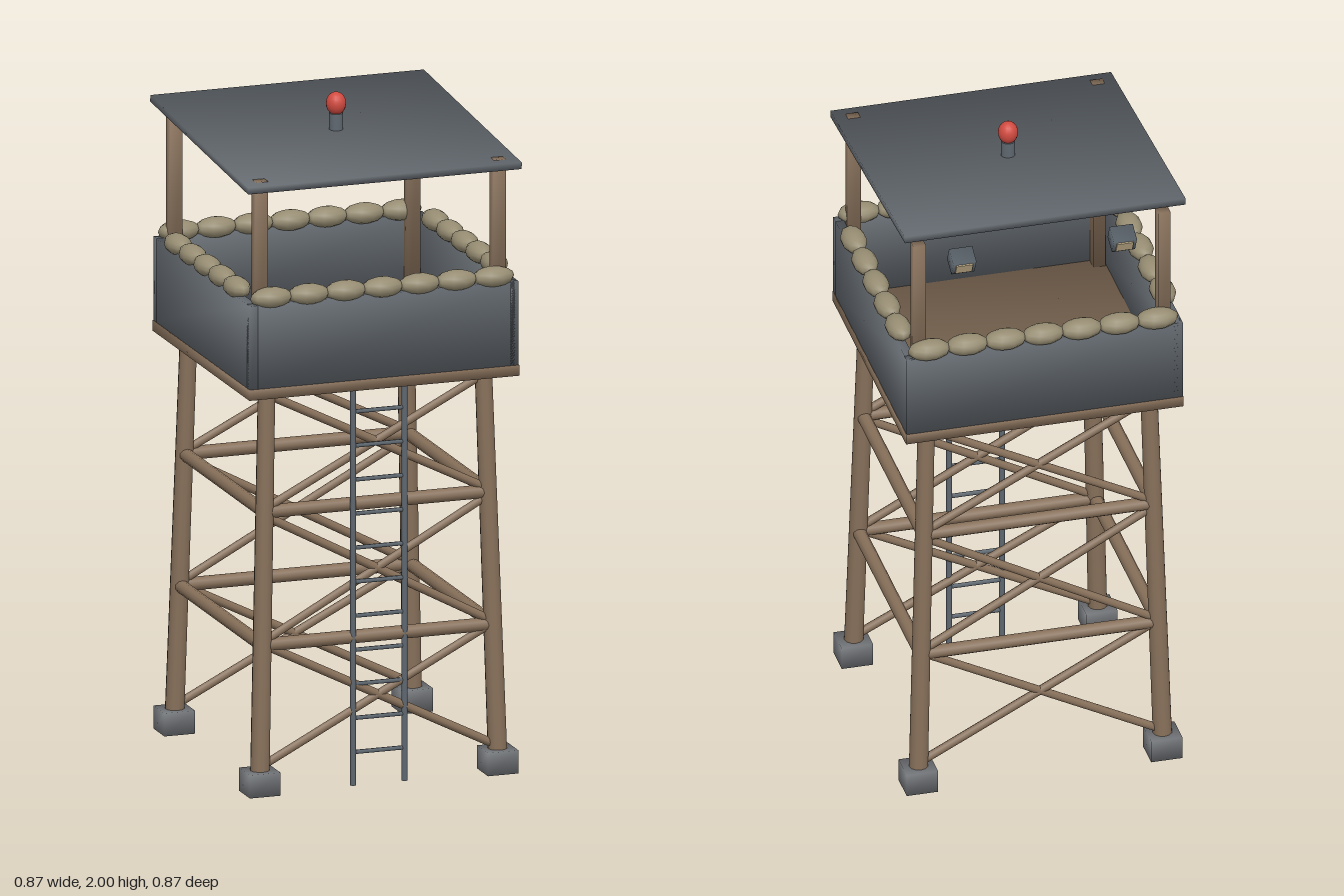
import * as THREE from 'three';

const mat = (name, color) => Object.assign(new THREE.MeshStandardMaterial({ color }), { name });

export function createModel() {
  const wood = mat('wood', 0x87705a);
  const metal = mat('sheet metal', 0x62686e);
  const steel = mat('ladder steel', 0x5f6870);
  const concrete = mat('concrete', 0x74777b);
  const burlap = mat('burlap', 0x968c72);
  const red = mat('beacon red', 0xd04a40);
  const glass = mat('lamp glass', 0xc4b08c);
  const model = new THREE.Group();
  model.name = 'watchtower';

  const add = (name, geometry, material, x = 0, y = 0, z = 0, parent = model) => {
    const mesh = new THREE.Mesh(geometry, material);
    mesh.name = name;
    mesh.position.set(x, y, z);
    parent.add(mesh);
    return mesh;
  };

  // Box whose corner normals point diagonally, giving soft shading
  const softBox = (w, h, d) => {
    const g = new THREE.BoxGeometry(w, h, d);
    const p = g.attributes.position, n = g.attributes.normal;
    const v = new THREE.Vector3();
    for (let i = 0; i < p.count; i++) {
      v.set(Math.sign(p.getX(i)), Math.sign(p.getY(i)), Math.sign(p.getZ(i))).normalize();
      n.setXYZ(i, v.x, v.y, v.z);
    }
    return g;
  };

  // Round pole between two points
  const up = new THREE.Vector3(0, 1, 0);
  const pole = (name, a, b, r0, r1, material, sides = 10) => {
    const from = new THREE.Vector3(...a), to = new THREE.Vector3(...b);
    const dir = to.clone().sub(from);
    const mesh = add(name, new THREE.CylinderGeometry(r1, r0, dir.length(), sides), material);
    mesh.position.copy(from).add(to).multiplyScalar(0.5);
    mesh.quaternion.setFromUnitVectors(up, dir.normalize());
    return mesh;
  };

  // Distance of a leg's axis from the centre at height y
  const legAt = (y) => 0.371 - 0.028 * y;

  // Footings, legs and roof posts at the four corners
  for (const sx of [-1, 1]) for (const sz of [-1, 1]) {
    add('footing', softBox(0.095, 0.07, 0.095), concrete, sx * 0.37, 0.037, sz * 0.37);
    const b = legAt(0.03), t = legAt(1.22);
    pole('leg', [sx * b, 0.03, sz * b], [sx * t, 1.22, sz * t], 0.029, 0.026, wood, 12);
    add('roofPost', softBox(0.037, 0.622, 0.037), wood, sx * 0.37, 1.549, sz * 0.37);
  }

  // Horizontal beams on all four sides
  for (const y of [0.447, 0.847]) {
    const d = legAt(y);
    for (const s of [-1, 1]) {
      pole('crossBeam', [-d, y, s * d], [d, y, s * d], 0.02, 0.02, wood);
      pole('sideBeam', [s * d, y, -d], [s * d, y, d], 0.02, 0.02, wood);
    }
  }

  // Diagonal braces on the front and back
  for (const [y0, y1] of [[0.08, 0.45], [0.455, 0.835], [0.855, 1.2]]) {
    const a = legAt(y0), b = legAt(y1);
    for (const sx of [-1, 1]) for (const sz of [-1, 1])
      pole('diagonalBrace', [-sx * a, y0, sz * a], [sx * b, y1, sz * b], 0.013, 0.013, wood, 8);
  }

  // Ladder
  for (const s of [-1, 1])
    pole('ladderRail', [s * 0.08, 0, 0.37], [s * 0.08, 1.21, 0.37], 0.009, 0.009, steel, 8);
  for (let i = 0; i < 11; i++) {
    const y = 0.1 + i * 0.1032;
    pole('ladderRung', [-0.08, y, 0.37], [0.08, y, 0.37], 0.0065, 0.0065, steel, 6);
  }

  // Platform and parapet walls
  add('platform', softBox(0.84, 0.032, 0.84), wood, 0, 1.224, 0);
  for (const s of [-1, 1]) {
    add('parapet', softBox(0.836, 0.256, 0.026), metal, 0, 1.366, s * 0.405);
    add('sideParapet', softBox(0.026, 0.256, 0.836), metal, s * 0.405, 1.366, 0);
  }

  // Sandbags along the parapet
  const bag = new THREE.SphereGeometry(1, 10, 8).scale(0.065, 0.031, 0.038);
  for (const s of [-1, 1]) {
    for (let i = -3; i <= 3; i++) add('sandbag', bag, burlap, i * 0.115, 1.51, s * 0.4);
    for (let i = -2; i <= 2; i++)
      add('sideSandbag', bag, burlap, s * 0.4, 1.51, i * 0.127).rotation.y = Math.PI / 2;
  }

  // Sloping roof
  add('roof', softBox(0.85, 0.02, 0.852), metal, 0, 1.878, 0).rotation.x = 0.078;

  // Beacon
  add('beaconBase', new THREE.CylinderGeometry(0.021, 0.021, 0.055, 12), steel, 0, 1.909, 0);
  add('beacon', new THREE.SphereGeometry(0.03, 16, 12).scale(1, 1.15, 1), red, 0, 1.9655, 0);

  // Floodlights under the rear of the roof, tipped down
  for (const s of [-1, 1]) {
    const lamp = new THREE.Group();
    lamp.name = 'floodlight';
    lamp.position.set(s * 0.243, 1.793, -0.388);
    lamp.rotation.x = -0.45;
    model.add(lamp);
    add('lampHousing', softBox(0.07, 0.052, 0.055), steel, 0, 0, 0, lamp);
    add('lampLens', new THREE.BoxGeometry(0.05, 0.036, 0.006), glass, 0, 0, -0.029, lamp);
  }
  return model;
}
